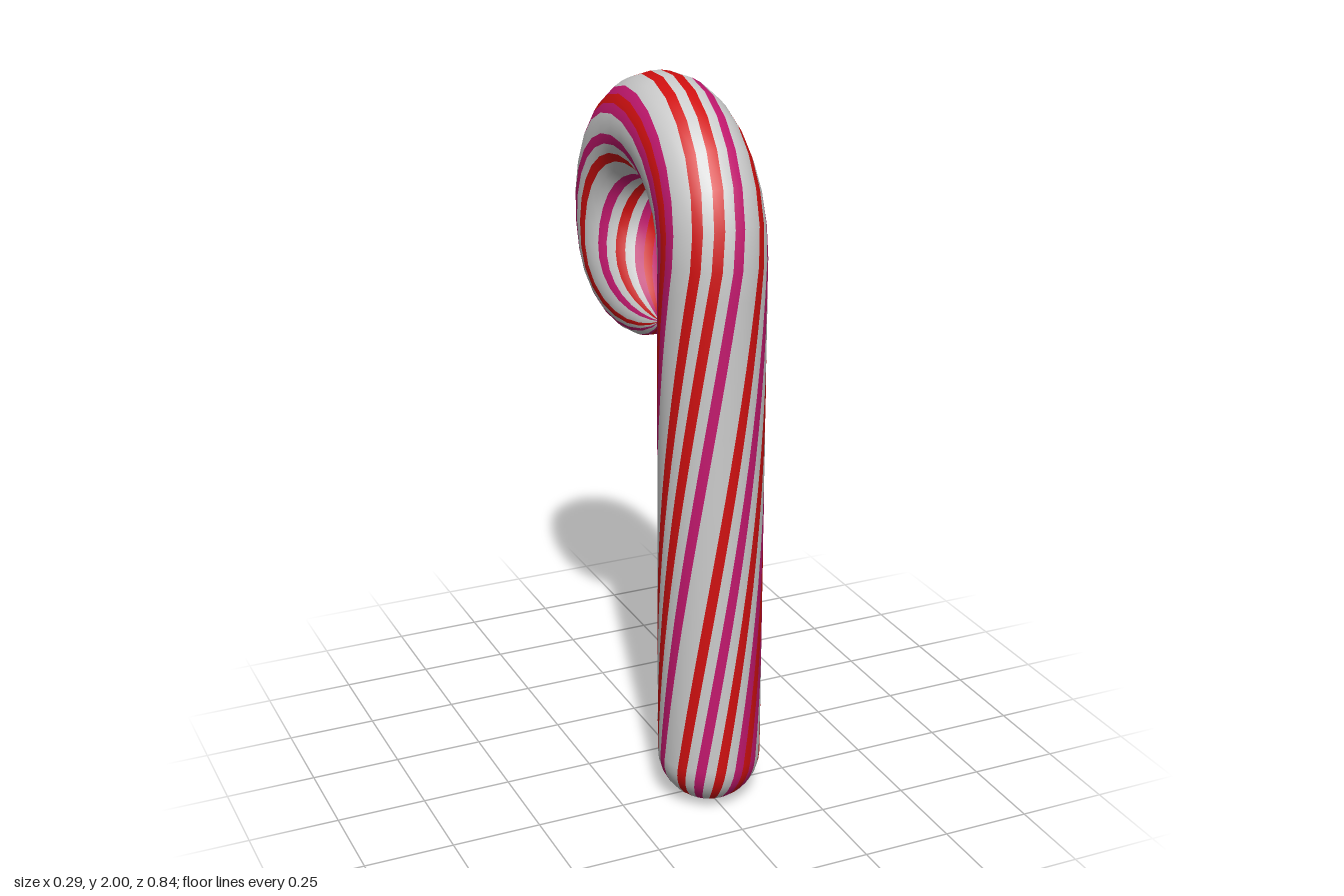
import * as THREE from 'three';

const R = 0.143;            // stick radius
const BEND = 0.28;          // radius of the hook's centre line
const SHAFT = 1.577;        // height at which the hook starts
const SWEEP = THREE.MathUtils.degToRad(259.5);
const LENGTH = SHAFT + BEND * SWEEP;
const TIP = 0.285;          // length of the tapered hook end
const TOP = SHAFT + BEND * Math.PI / 2;
const TWIST = THREE.MathUtils.degToRad(64); // per unit of length

// One letter per column round the stick: white, red, magenta
const STRIPES = 'RWMWWRWMWRWMRMWRWMWWRWMWWMRMWWRW';
const SIDES = STRIPES.length;

// Centre and outward direction of the cross-section at length s
function frameAt(s) {
  if (s <= SHAFT) {
    return { centre: new THREE.Vector3(0, s, BEND), out: new THREE.Vector3(0, 0, 1) };
  }
  const a = (s - SHAFT) / BEND;
  const out = new THREE.Vector3(0, Math.sin(a), Math.cos(a));
  return { centre: out.clone().multiplyScalar(BEND).add(new THREE.Vector3(0, SHAFT, 0)), out };
}

// Rings along the stick: [length, radius]
function makeRings() {
  const rings = [];
  const capRows = 8;
  // Rounded foot
  for (let i = 0; i < capRows; i++) {
    const a = i / capRows * Math.PI / 2;
    rings.push([R * (1 - Math.cos(a)), R * Math.sin(a)]);
  }
  // Straight shaft
  for (let i = 0; i <= 16; i++) rings.push([R + (SHAFT - R) * i / 16, R]);
  // Hook
  const hookEnd = LENGTH - TIP;
  for (let i = 1; i <= 14; i++) rings.push([SHAFT + (hookEnd - SHAFT) * i / 14, R]);
  // Tapered tip
  for (let i = 1; i <= capRows; i++) {
    const a = i / capRows * Math.PI / 2;
    rings.push([hookEnd + TIP * Math.sin(a), R * Math.cos(a)]);
  }
  return rings;
}

export function createModel() {
  const group = new THREE.Group();
  group.name = 'candyCane';
  const rings = makeRings();
  const positions = [];

  // Twisted cross-sections
  for (const [s, r] of rings) {
    const { centre, out } = frameAt(s);
    for (let j = 0; j < SIDES; j++) {
      const a = 0.035 + j / SIDES * Math.PI * 2 + (s - TOP) * TWIST;
      const p = centre.clone().addScaledVector(out, r * Math.cos(a));
      p.x += r * Math.sin(a);
      positions.push(p.x, p.y, p.z);
    }
  }

  // Triangles of the columns whose letter passes the test
  function stripeIndex(test) {
    const index = [];
    const last = rings.length - 2;
    for (let j = 0; j < SIDES; j++) {
      if (!test(STRIPES[j])) continue;
      const k = (j + 1) % SIDES;
      for (let i = 0; i <= last; i++) {
        const a = i * SIDES, b = a + SIDES;
        if (i > 0) index.push(a + j, a + k, b + j);
        if (i < last) index.push(a + k, b + k, b + j);
        // The first and last rings are single points
      }
    }
    return index;
  }

  const whole = new THREE.BufferGeometry();
  whole.setAttribute('position', new THREE.Float32BufferAttribute(positions, 3));
  whole.setIndex(stripeIndex(() => true));
  whole.computeVertexNormals();

  // One mesh per stripe colour, sharing smooth normals
  const parts = [
    ['whiteStripes', 'W', 0xcccccc],
    ['redStripes', 'R', 0xd01010],
    ['magentaStripes', 'M', 0xc2186e],
  ];
  for (const [name, letter, color] of parts) {
    const geometry = whole.clone();
    geometry.setIndex(stripeIndex((c) => c === letter));
    const mesh = new THREE.Mesh(geometry.toNonIndexed(), new THREE.MeshStandardMaterial({ color }));
    mesh.name = name;
    group.add(mesh);
  }
  return group;
}
